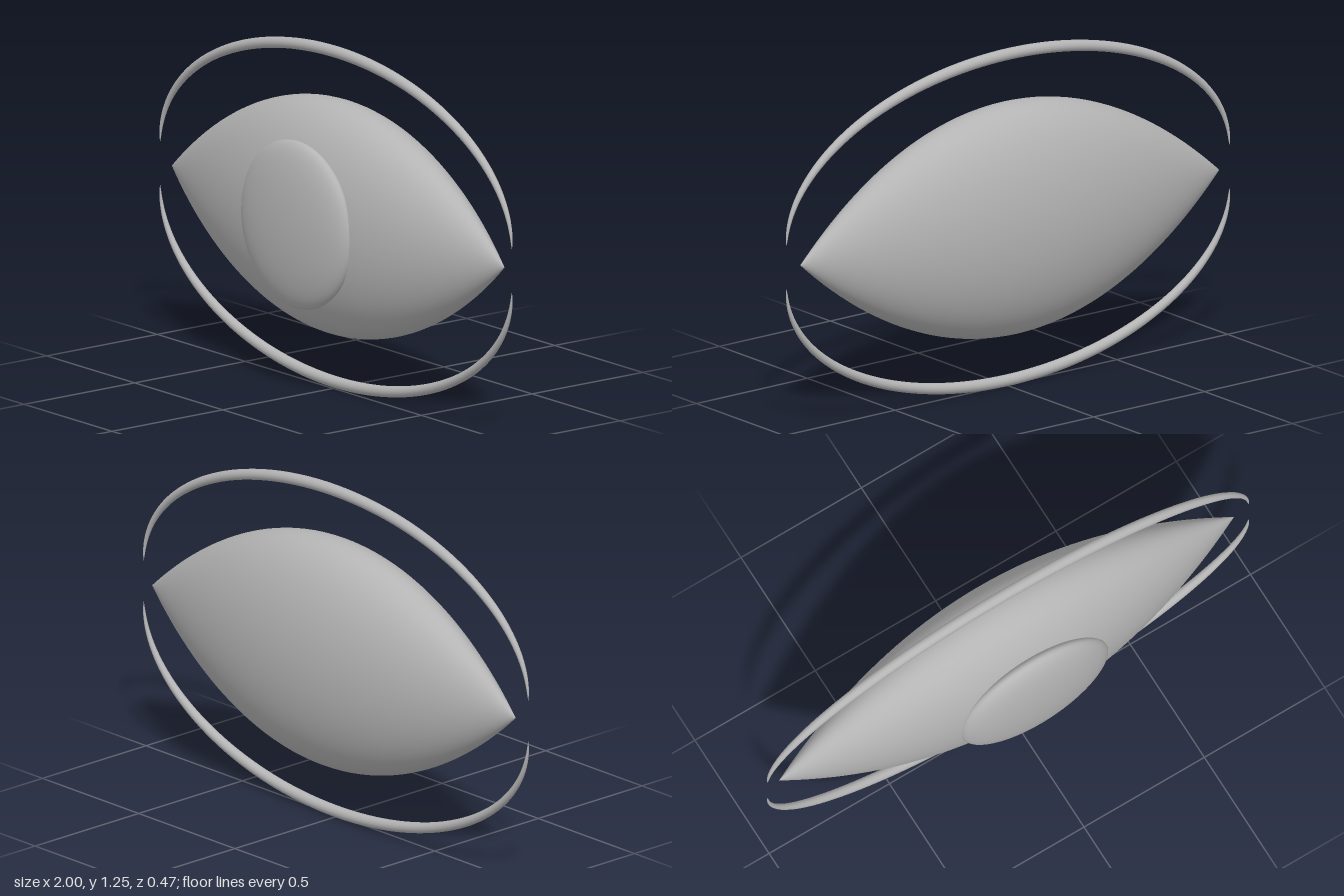
import * as THREE from 'three';

const MID = 0.6235; // height of the eye's axis

// Half-ellipse rod, tapering to a point at both ends
function lidGeometry() {
  const rx = 0.999, ry = 0.525, lift = 0.077, radius = 0.021, segs = 120, sides = 16;
  const pts = [];
  for (let i = 0; i <= 80; i++) {
    const t = Math.PI * (1 - i / 80);
    pts.push(new THREE.Vector3(rx * Math.cos(t), lift + ry * Math.sin(t), 0));
  }
  const path = new THREE.CatmullRomCurve3(pts);
  const geo = new THREE.TubeGeometry(path, segs, radius, sides, false);
  const pos = geo.attributes.position;
  const v = new THREE.Vector3();
  for (let i = 0; i <= segs; i++) {
    const c = path.getPointAt(i / segs);
    const taper = Math.pow(Math.max(0, (c.y - lift) / ry), 0.6);
    for (let j = 0; j <= sides; j++) {
      const k = i * (sides + 1) + j;
      v.fromBufferAttribute(pos, k).sub(c).multiplyScalar(taper).add(c);
      pos.setXYZ(k, v.x, v.y, v.z);
    }
  }
  return geo;
}

export function createModel() {
  const model = new THREE.Group();
  model.name = 'eye';
  const grey = new THREE.MeshStandardMaterial({ color: 0xb4b4b4 });
  grey.name = 'grey';

  const add = (name, geo, y, z) => {
    const mesh = new THREE.Mesh(geo, grey);
    mesh.name = name;
    mesh.position.set(0, y, z);
    model.add(mesh);
    return mesh;
  };

  // Almond eyeball: spindle lying along x, flattened in depth
  const profile = [];
  for (let i = 0; i <= 64; i++) {
    const u = -Math.cos((Math.PI * i) / 64);
    profile.push(new THREE.Vector2(0.427 * Math.max(0, 1 - u * u), 0.945 * u));
  }
  const eyeball = add('eyeball', new THREE.LatheGeometry(profile, 96), MID, -0.022);
  eyeball.rotation.z = Math.PI / 2;
  eyeball.scale.z = 0.5;

  // Iris: flattened ball set into the front
  const iris = add('iris', new THREE.SphereGeometry(0.305, 64, 48), MID, 0.164);
  iris.scale.z = 0.07 / 0.305;

  // Upper and lower lids
  const lid = lidGeometry();
  add('upperLid', lid, MID, -0.012);
  add('lowerLid', lid, MID, -0.012).rotation.z = Math.PI;

  return model;
}
